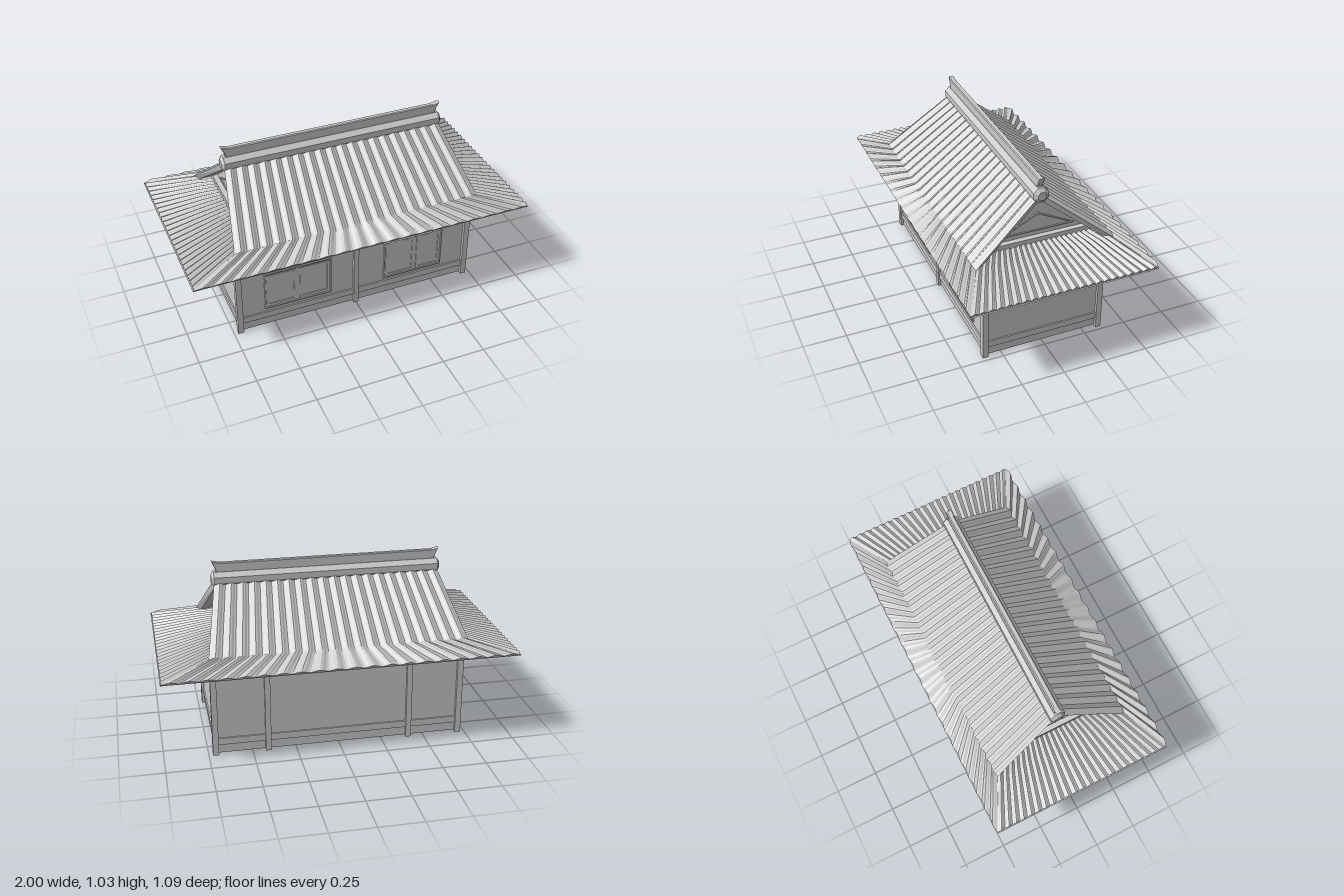
import * as THREE from 'three';

const grey = new THREE.MeshStandardMaterial({ color: 0xcccccc, flatShading: true });
const thin = new THREE.MeshStandardMaterial({ color: 0xcccccc, flatShading: true, side: THREE.DoubleSide });

// surface through rows of points, rows running downhill, points left to right
function sheet(rows) {
  const pos = [];
  for (let r = 0; r < rows.length - 1; r++) {
    for (let c = 0; c < rows[r].length - 1; c++) {
      const a = rows[r][c], b = rows[r + 1][c], d = rows[r + 1][c + 1], e = rows[r][c + 1];
      pos.push(...a, ...b, ...d, ...a, ...d, ...e);
    }
  }
  const g = new THREE.BufferGeometry();
  g.setAttribute('position', new THREE.Float32BufferAttribute(pos, 3));
  g.computeVertexNormals();
  return g;
}

// tiled slope facing +z; each row is [half width, y, z, tile height]
function tiledSlope(rows, tiles, tilt) {
  const steps = 6, n = tiles * steps;
  return sheet(rows.map(([half, y, z, h]) => {
    const line = [];
    for (let i = 0; i <= n; i++) {
      const bump = h * (0.5 - 0.5 * Math.cos((2 * Math.PI * i) / steps));
      line.push([half * (2 * i / n - 1), y + bump * Math.cos(tilt), z + bump * Math.sin(tilt)]);
    }
    return line;
  }));
}

// flat ring outline between two rectangles
function rectFrame(x0, x1, y0, y1, w, depth) {
  const rect = (P, i) => {
    const p = new P();
    p.moveTo(x0 + i, y0 + i);
    p.lineTo(x1 - i, y0 + i);
    p.lineTo(x1 - i, y1 - i);
    p.lineTo(x0 + i, y1 - i);
    p.closePath();
    return p;
  };
  const s = rect(THREE.Shape, 0);
  s.holes.push(rect(THREE.Path, w));
  return new THREE.ExtrudeGeometry(s, { depth, bevelEnabled: false });
}

const triangle = (P, half, y0, y1) => new P([[-half, y0], [half, y0], [0, y1]].map(p => new THREE.Vector2(...p)));

export function createModel() {
  const model = new THREE.Group();
  const add = (name, geo, mat = grey, parent = model) => {
    const m = new THREE.Mesh(geo, mat);
    m.name = name;
    parent.add(m);
    return m;
  };
  const box = (name, x0, x1, y0, y1, z0, z1) => {
    const m = add(name, new THREE.BoxGeometry(x1 - x0, y1 - y0, z1 - z0));
    m.position.set((x0 + x1) / 2, (y0 + y1) / 2, (z0 + z1) / 2);
    return m;
  };

  // walls, base beam and posts
  box('walls', -0.71, 0.71, 0.008, 0.495, -0.345, 0.345);
  box('baseBeam', -0.718, 0.718, 0.06, 0.1, -0.353, 0.353);
  for (const sx of [-1, 1]) {
    for (const sz of [-1, 1]) {
      const x = sx * 0.71, z = sz * 0.346;
      box('cornerPost', x - 0.017, x + 0.017, 0, 0.5, z - 0.016, z + 0.016);
    }
    box('backPost', sx * 0.41 - 0.016, sx * 0.41 + 0.016, 0, 0.5, -0.361, -0.33);
  }
  box('frontPost', -0.015, 0.015, 0, 0.395, 0.33, 0.361);
  box('headerBoard', -0.64, 0.64, 0.395, 0.5, 0.34, 0.352);

  // windows: an outer frame with two sashes each
  const windows = [
    [[-0.557, -0.152, 0.122, 0.372], [-0.547, -0.368, 0.138, 0.355], [-0.345, -0.163, 0.138, 0.355]],
    [[0.178, 0.552, 0.118, 0.375], [0.19, 0.372, 0.128, 0.364], [0.388, 0.54, 0.128, 0.364]],
  ];
  for (const [outer, ...sashes] of windows) {
    const win = new THREE.Group();
    win.name = 'window';
    model.add(win);
    add('windowFrame', rectFrame(...outer, 0.008, 0.009), grey, win).position.z = 0.343;
    for (const s of sashes) {
      add('windowSash', rectFrame(...s, 0.014, 0.006), grey, win).position.z = 0.343;
    }
  }

  // roof slopes, built once and turned to the opposite side
  const main = tiledSlope([
    [0.645, 0.925, 0.0, 0.016], [0.73, 0.607, 0.4, 0.016],
    [1.0, 0.543, 0.534, 0.016], [1.0, 0.537, 0.532, 0],
  ], 20, 0.6);
  const skirt = tiledSlope([
    [0.315, 0.63, 0.6, 0.013], [0.4, 0.603, 0.73, 0.013],
    [0.535, 0.543, 0.994, 0.013], [0.535, 0.537, 0.99, 0],
  ], 23, 0.23);
  // underside and cut edges of the steep roof part
  const lining = sheet([
    [[-0.71, 0.585, 0.385], [0.71, 0.585, 0.385]],
    [[-0.635, 0.885, 0], [0.635, 0.885, 0]],
  ]);
  const rake = s => {
    const up = [[s * 0.645, 0.925, 0], [s * 0.73, 0.607, 0.4]];
    const low = [[s * 0.635, 0.885, 0], [s * 0.71, 0.585, 0.385]];
    return sheet(s > 0 ? [up.reverse(), low.reverse()] : [up, low]);
  };
  // soffit sloping down from the eaves to the wall
  const soffit = (hx, hz, wx, wz) => sheet([
    [[-wx, 0.487, wz], [wx, 0.487, wz]],
    [[-hx, 0.537, hz], [hx, 0.537, hz]],
  ].reverse());
  for (const turn of [0, Math.PI]) {
    add('mainRoofSlope', main, thin).rotation.y = turn;
    add('sideRoofSkirt', skirt, thin).rotation.y = turn + Math.PI / 2;
    add('roofLining', lining, thin).rotation.y = turn;
    for (const s of [-1, 1]) add('rakeEdge', rake(s), thin).rotation.y = turn;
    add('longSoffit', soffit(1.0, 0.532, 0.7, 0.345), thin).rotation.y = turn;
    add('sideSoffit', soffit(0.532, 1.0, 0.345, 0.7), thin).rotation.y = turn + Math.PI / 2;
  }

  // gable walls with triangular trim and a ledge
  const gable = new THREE.ExtrudeGeometry(triangle(THREE.Shape, 0.34, 0.62, 0.885), { depth: 1.22, bevelEnabled: false });
  gable.translate(0, 0, -0.61).rotateY(Math.PI / 2);
  add('gableWalls', gable);
  const trimShape = triangle(THREE.Shape, 0.22, 0.683, 0.797);
  trimShape.holes.push(triangle(THREE.Path, 0.195, 0.69, 0.787));
  const trim = new THREE.ExtrudeGeometry(trimShape, { depth: 0.008, bevelEnabled: false });
  trim.translate(0, 0, 0.609).rotateY(Math.PI / 2);
  for (const s of [0, Math.PI]) add('gableTrim', trim, grey).rotation.y = s;
  for (const s of [-1, 1]) box('gableLedge', s * 0.62 - 0.02, s * 0.62 + 0.02, 0.625, 0.656, -0.313, 0.313);

  // octagonal ridge beam with bevelled ends
  const beamProfile = [[0, -0.665], [0.026, -0.665], [0.047, -0.65], [0.047, 0.65], [0.026, 0.665], [0, 0.665]];
  const beam = new THREE.LatheGeometry(beamProfile.map(p => new THREE.Vector2(...p)), 8, Math.PI / 8);
  beam.rotateZ(Math.PI / 2);
  add('ridgeBeam', beam).position.y = 0.924;

  // ridge crest with flared tips
  const half = [[0.632, 0.95], [0.632, 0.975], [0.642, 1.0], [0.656, 1.026], [0.615, 1.016]];
  const outline = [...half, ...half.map(([x, y]) => [-x, y]).reverse()];
  const crest = new THREE.ExtrudeGeometry(
    new THREE.Shape(outline.map(p => new THREE.Vector2(...p))),
    { depth: 0.02, bevelEnabled: true, bevelThickness: 0.006, bevelSize: 0.004, bevelSegments: 1 },
  );
  crest.translate(0, 0, -0.01);
  add('ridgeCrest', crest);

  return model;
}
